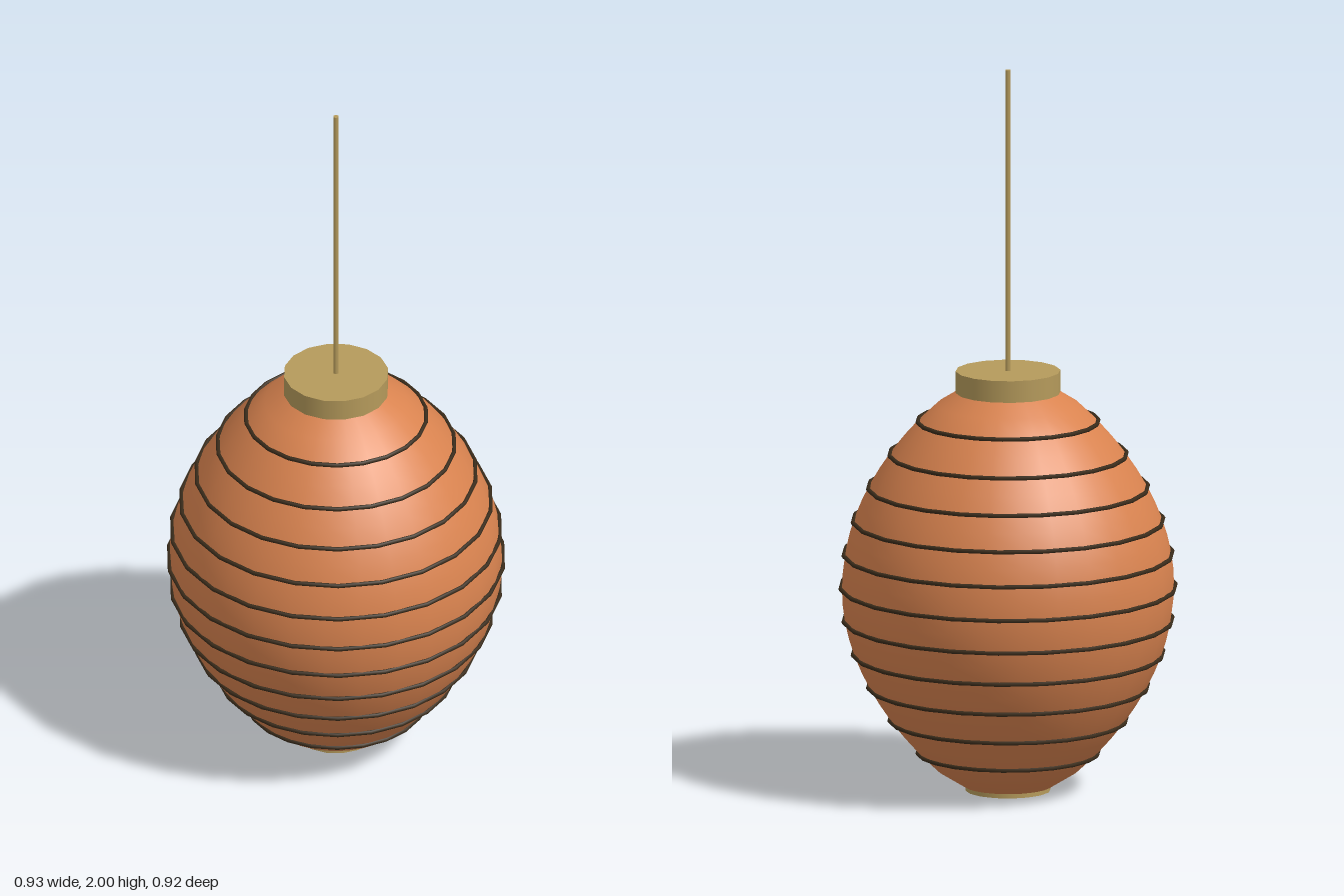
import * as THREE from 'three';

export function createModel() {
  const group = new THREE.Group();
  const mat = (name, color, side = THREE.FrontSide) => {
    const m = new THREE.MeshStandardMaterial({ color, side });
    m.name = name;
    return m;
  };
  const paper = mat('orange paper', 0xd9834f, THREE.DoubleSide);
  const wood = mat('tan wood', 0xb59a5b);
  const rib = mat('dark rib', 0x3a2c1b);

  const add = (name, geometry, material, y = 0) => {
    const mesh = new THREE.Mesh(geometry, material);
    mesh.name = name;
    mesh.position.y = y;
    group.add(mesh);
    return mesh;
  };

  // Lantern outline: t runs from the bottom opening to the top opening
  const bottom = 0.013, height = 1.104;
  const yAt = t => bottom + height * t;
  const radiusAt = t => 0.122 + 0.333 * Math.pow(Math.max(0, Math.sin(Math.PI * t)), 0.74);

  // Paper shade
  const profile = [];
  for (let i = 0; i <= 24; i++) {
    const t = i / 24;
    profile.push(new THREE.Vector2(radiusAt(t) - 0.002, yAt(t)));
  }
  add('shade', new THREE.LatheGeometry(profile, 28), paper);

  // Evenly spaced hoops
  for (let i = 1; i < 12; i++) {
    const t = i / 12;
    const hoop = new THREE.TorusGeometry(radiusAt(t) + 0.002, 0.006, 6, 22);
    hoop.rotateX(Math.PI / 2);
    add('hoop' + i, hoop, rib, yAt(t));
  }

  // End caps and hanging cord
  add('topCap', new THREE.CylinderGeometry(0.143, 0.143, 0.06, 16), wood, 1.135);
  add('bottomCap', new THREE.CylinderGeometry(0.116, 0.116, 0.03, 16), wood, 0.015);
  add('cord', new THREE.CylinderGeometry(0.008, 0.008, 0.84, 6), wood, 1.58);

  return group;
}
